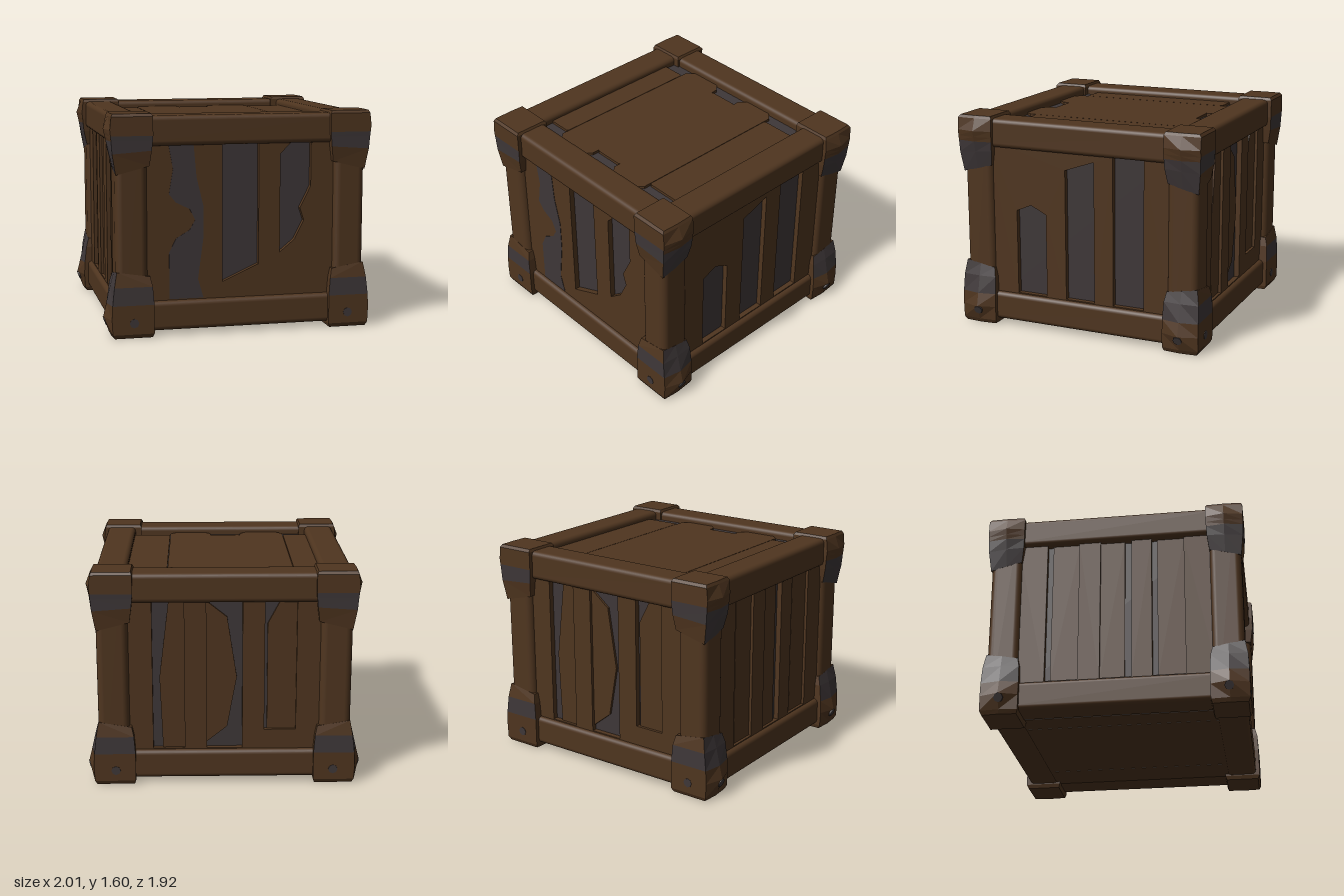
import * as THREE from 'three';
import { RoundedBoxGeometry } from 'three/addons/geometries/RoundedBoxGeometry.js';

const wood = new THREE.MeshStandardMaterial({ color: 0x4f351f });
wood.name = 'brown wood';
const dark = new THREE.MeshStandardMaterial({ color: 0x3e3738 });
dark.name = 'dark grey';

const toPath = (points, Type = THREE.Shape) => new Type(points.map(([x, y]) => new THREE.Vector2(x, y)));
const plate = (points, depth) => new THREE.ExtrudeGeometry(toPath(points), { depth, bevelEnabled: false });

function add(parent, name, geometry, material, x = 0, y = 0, z = 0) {
  const mesh = new THREE.Mesh(geometry, material);
  mesh.name = name;
  mesh.position.set(x, y, z);
  parent.add(mesh);
  return mesh;
}

const beam = (w, h, d, r = 0.035) => new RoundedBoxGeometry(w, h, d, 3, r);
const slot = (a, b, y0 = 0.26, y1 = 1.37) => [[a, y0], [b, y0], [b, y1], [a, y1]];

// Side wall with cut-out slots, turned to face its direction
function addWall(parent, name, angle, holes, infills = []) {
  const wall = new THREE.Group();
  wall.name = name;
  wall.rotation.y = angle;
  const shape = toPath(slot(-0.74, 0.74, 0.2, 1.42));
  shape.holes = holes.map((h) => toPath(h, THREE.Path));
  add(wall, 'slottedBoards', new THREE.ExtrudeGeometry(shape, { depth: 0.05, bevelEnabled: false }), wood, 0, 0, 0.84);
  for (const p of infills) add(wall, 'innerBoard', plate(p, 0.02), wood, 0, 0, 0.848);
  parent.add(wall);
  return wall;
}

// Corner cap from stacked pentagon sections; rows are
// [y, outer x, ridge x, outer z, inner x, inner z, tilt, grey faces of the band above]
function capGeometry(levels, sx, sz) {
  const rings = levels.map(([y, xo, xp, zo, xi, zi, t]) =>
    [[xi, zo, -1], [xo, zo, 1], [xp, 0.815, 0], [xo, zi, -1], [xi, zi, -1]]
      .map(([x, z, k]) => [x * sx, y + t * k, z * sz]));
  const parts = [[], []];
  const tri = (m, a, b, c) => parts[m].push(...(sx * sz > 0 ? [a, b, c] : [a, c, b]).flat());
  for (let r = 0; r < rings.length - 1; r++) {
    for (let i = 0; i < 5; i++) {
      const j = (i + 1) % 5;
      const [a, b, c, d] = [rings[r][i], rings[r][j], rings[r + 1][j], rings[r + 1][i]];
      const m = levels[r][7].includes(i) ? 1 : 0;
      tri(m, a, b, c);
      tri(m, a, c, d);
    }
  }
  const low = rings[0], high = rings[rings.length - 1];
  for (let i = 1; i < 4; i++) {
    tri(0, low[0], low[i + 1], low[i]);
    tri(0, high[0], high[i], high[i + 1]);
  }
  const geometry = new THREE.BufferGeometry();
  geometry.setAttribute('position', new THREE.Float32BufferAttribute(parts.flat(), 3));
  geometry.addGroup(0, parts[0].length / 3, 0);
  geometry.addGroup(parts[0].length / 3, parts[1].length / 3, 1);
  geometry.computeVertexNormals();
  return geometry;
}

const lowerCap = [
  [0.0, 0.935, 0.945, 0.94, 0.66, 0.69, 0, []],
  [0.03, 0.95, 0.96, 0.955, 0.65, 0.68, 0, []],
  [0.14, 0.955, 1.0, 0.955, 0.65, 0.68, 0, []],
  [0.24, 0.95, 0.975, 0.955, 0.65, 0.68, 0, [0, 1, 2]],
  [0.37, 0.935, 0.945, 0.95, 0.66, 0.685, 0, [1, 2]],
  [0.46, 0.915, 0.92, 0.932, 0.675, 0.7, 0.02, []],
];
const upperCap = [
  [1.2, 0.915, 0.92, 0.932, 0.675, 0.7, -0.03, [1, 2]],
  [1.33, 0.94, 0.95, 0.95, 0.66, 0.685, -0.01, [0, 1, 2]],
  [1.41, 0.947, 0.967, 0.953, 0.653, 0.682, 0, [0]],
  [1.445, 0.95, 0.975, 0.955, 0.65, 0.68, 0, []],
  [1.49, 0.955, 0.985, 0.955, 0.65, 0.68, 0, []],
  [1.58, 0.945, 0.95, 0.955, 0.65, 0.68, 0, []],
  [1.6, 0.935, 0.94, 0.94, 0.66, 0.69, 0, []],
];

export function createModel() {
  const crate = new THREE.Group();
  crate.name = 'crate';

  // Dark core seen through gaps
  add(crate, 'innerCore', new THREE.BoxGeometry(1.7, 1.435, 1.7), dark, 0, 0.7975, 0);

  // Walls
  const front = addWall(crate, 'frontWall', 0, [
    [[-0.14, 0.37], [0.13, 0.49], [0.13, 1.37], [-0.14, 1.37]],
    [[0.29, 0.57], [0.4, 0.66], [0.47, 0.8], [0.44, 0.89], [0.52, 1.05], [0.52, 1.37], [0.37, 1.37], [0.29, 1.29]],
  ]);
  // Worn grey strip, flush with the front boards
  add(front, 'wornStrip', plate([
    [-0.53, 1.37], [-0.50, 1.2], [-0.53, 1.02], [-0.48, 0.96], [-0.38, 0.91], [-0.34, 0.83], [-0.38, 0.76],
    [-0.48, 0.7], [-0.53, 0.6], [-0.53, 0.26], [-0.28, 0.26], [-0.32, 0.4], [-0.28, 0.7], [-0.28, 0.93],
    [-0.33, 1.14], [-0.35, 1.37]], 0.005), dark, 0, 0, 0.888);
  addWall(crate, 'leftWall', Math.PI / 2, [
    [[-0.51, 0.26], [-0.27, 0.26], [-0.27, 0.89], [-0.39, 0.95], [-0.51, 0.9]],
    [[-0.11, 0.26], [0.12, 0.26], [0.12, 1.32], [-0.11, 1.24]],
    slot(0.27, 0.51),
  ]);
  addWall(crate, 'backWall', Math.PI,
    [slot(-0.52, -0.29), slot(-0.13, 0.13), slot(0.29, 0.52, 0.4)],
    [
      [[-0.45, 0.26], [-0.29, 0.26], [-0.29, 1.37], [-0.4, 1.37], [-0.47, 0.8]],
      [[-0.13, 0.3], [0.02, 0.42], [0.09, 0.8], [0.02, 1.25], [-0.13, 1.37]],
      [[0.31, 0.4], [0.52, 0.4], [0.52, 1.37], [0.4, 1.37], [0.31, 1.2]],
    ]);
  addWall(crate, 'rightWall', -Math.PI / 2,
    [slot(-0.51, -0.27), slot(-0.11, 0.12), slot(0.27, 0.51)],
    [slot(-0.47, -0.27), slot(-0.11, 0.07), slot(0.31, 0.51)]);

  // Lid and floor planks: [left, right, half length, corner cut]
  const planks = [[-0.7, -0.514, 0.59, 0.01], [-0.51, -0.16, 0.69, 0.05], [-0.16, 0.08, 0.59, 0.01],
    [0.08, 0.408, 0.69, 0.05], [0.412, 0.7, 0.59, 0.01]];
  for (const [a, b, l, c] of planks) {
    const lid = plate([[a + c, -l], [b - c, -l], [b, c - l], [b, l - c], [b - c, l], [a + c, l], [a, l - c], [a, c - l]], 0.03);
    lid.rotateX(-Math.PI / 2);
    add(crate, 'lidPlank', lid, wood, 0, 1.505, 0);
    add(crate, 'floorPlank', new THREE.BoxGeometry(b - a, 0.05, 1.42), wood, (a + b) / 2, 0.07, 0);
  }

  // Frame beams
  for (const s of [-1, 1]) {
    for (const y of [0.145, 1.475]) {
      add(crate, 'longBeam', beam(1.4, 0.215, 0.23), wood, 0, y, s * 0.81);
      add(crate, 'sideBeam', beam(0.225, 0.215, 1.44), wood, s * 0.81, y, 0);
    }
  }

  // Corner posts, caps and rivets
  const rivet = new THREE.CylinderGeometry(0.034, 0.034, 0.014, 8);
  for (const sx of [-1, 1]) {
    for (const sz of [-1, 1]) {
      add(crate, 'cornerPost', beam(0.23, 1.4, 0.235, 0.05), wood, sx * 0.803, 0.8, sz * 0.813);
      add(crate, 'lowerCap', capGeometry(lowerCap, sx, sz), [wood, dark]);
      add(crate, 'upperCap', capGeometry(upperCap, sx, sz), [wood, dark]);
      add(crate, 'faceRivet', rivet, dark, sx * 0.795, 0.11, sz * 0.951).rotation.x = Math.PI / 2;
      add(crate, 'sideRivet', rivet, dark, sx * 0.985, 0.11, sz * 0.812).rotation.z = -sx * (Math.PI / 2 + 0.35);
    }
  }
  return crate;
}
